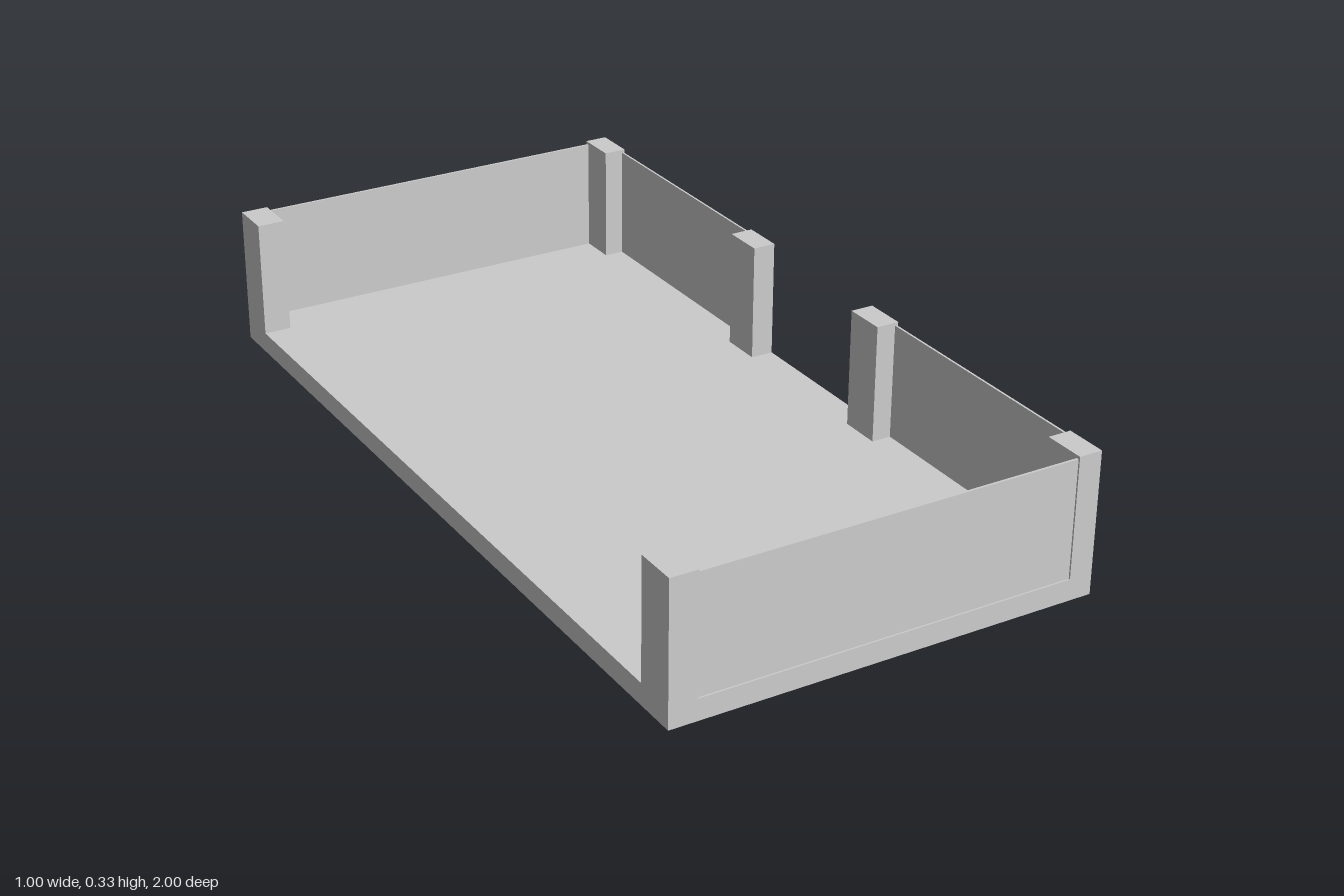
import * as THREE from 'three';

export function createModel() {
  const group = new THREE.Group();
  const material = new THREE.MeshStandardMaterial({ color: 0xcccccc, flatShading: true });
  const floorTop = 0.05, postTop = 0.33, wallTop = 0.323;

  // Box given by its lower and upper limits on each axis
  function box(name, [x0, x1], [y0, y1], [z0, z1]) {
    const mesh = new THREE.Mesh(new THREE.BoxGeometry(x1 - x0, y1 - y0, z1 - z0), material);
    mesh.position.set((x0 + x1) / 2, (y0 + y1) / 2, (z0 + z1) / 2);
    mesh.name = name;
    group.add(mesh);
  }
  // Range along z, mirrored to the back when side is -1
  const along = (side, a, b) => (side > 0 ? [a, b] : [-b, -a]);

  box('floor', [-0.5, 0.5], [0, floorTop], [-1, 1]);

  for (const side of [1, -1]) {
    const end = side > 0 ? 'front' : 'back';
    const postY = [floorTop, postTop], wallY = [floorTop, wallTop];

    // Corner posts and the post beside the side opening
    box(end + 'OpenSidePost', [-0.5, -0.435], postY, along(side, 0.9, 1));
    box(end + 'CornerPost', [0.445, 0.5], postY, along(side, 0.9, 1));
    box(end + 'OpeningPost', [0.445, 0.5], postY, along(side, 0.2, 0.3));

    // Thin panels set just inside the outer faces of the posts
    box(end + 'EndPanel', [-0.435, 0.445], wallY, along(side, 0.99, 0.996));
    box(end + 'SidePanel', [0.492, 0.497], wallY, along(side, 0.3, 0.9));
  }
  return group;
}
